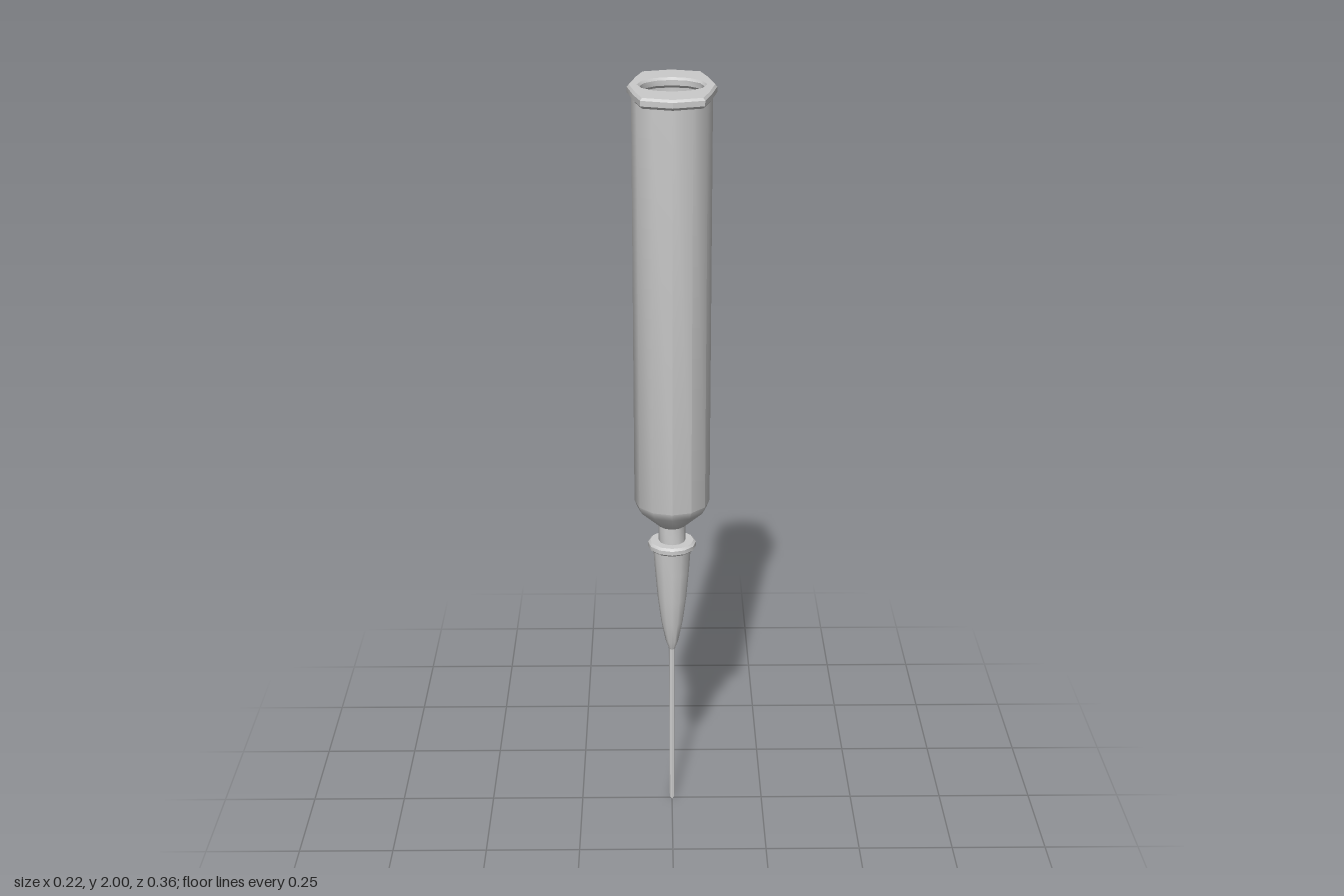
import * as THREE from 'three';
import { toCreasedNormals } from 'three/addons/utils/BufferGeometryUtils.js';

const SIDES = 12;
const CREASE = 0.62;
const material = new THREE.MeshStandardMaterial({ color: 0xcccccc });

function addPart(group, name, geometry) {
  const mesh = new THREE.Mesh(toCreasedNormals(geometry, CREASE), material);
  mesh.name = name;
  group.add(mesh);
}

// Turned part from [radius, height] pairs
function turned(profile) {
  return new THREE.LatheGeometry(profile.map(([r, y]) => new THREE.Vector2(r, y)), SIDES);
}

export function createModel() {
  const group = new THREE.Group();
  group.name = 'syringe';

  // Hollow barrel: neck, shoulder, outer wall, then inner wall and funnel floor
  addPart(group, 'barrel', turned([
    [0, 0.795], [0.035, 0.795], [0.035, 0.845], [0.09, 0.895], [0.098, 0.915], [0.098, 1.985],
    [0.084, 1.985], [0.084, 0.925], [0.035, 0.872], [0, 0.872],
  ]));

  // Finger flange: bevelled elongated plate with a round opening
  const quarter = [[0.103, 0], [0.087, 0.09], [0.071, 0.153], [0, 0.176]];
  const half = [...quarter, ...quarter.slice(0, 3).reverse().map(([x, z]) => [-x, z])];
  const outline = [...half, ...half.slice(1, 6).reverse().map(([x, z]) => [x, -z])];
  const plate = new THREE.Shape(outline.map(([x, z]) => new THREE.Vector2(x, z)));
  const hole = [];
  for (let i = 0; i < SIDES; i++) {
    const a = -i / SIDES * Math.PI * 2;
    hole.push(new THREE.Vector2(Math.cos(a) * 0.084, Math.sin(a) * 0.084));
  }
  plate.holes.push(new THREE.Path(hole));
  const flange = new THREE.ExtrudeGeometry(plate, {
    depth: 0.013, bevelThickness: 0.006, bevelSize: 0.005, bevelSegments: 1,
  });
  flange.rotateX(-Math.PI / 2).translate(0, 1.981, 0);
  addPart(group, 'fingerFlange', flange);

  // Collar at the top of the needle hub
  addPart(group, 'hubCollar', turned([
    [0, 0.777], [0.056, 0.777], [0.063, 0.783], [0.063, 0.794], [0.057, 0.8], [0, 0.8],
  ]));

  // Tapered needle hub
  addPart(group, 'needleHub', turned([
    [0, 0.475], [0.008, 0.475], [0.017, 0.5], [0.029, 0.56], [0.038, 0.63],
    [0.045, 0.71], [0.05, 0.782], [0, 0.782],
  ]));

  // Needle with a slanted tip, its point towards +z
  const radius = 0.007;
  const needle = new THREE.CylinderGeometry(radius, radius, 0.49, 8);
  needle.translate(0, 0.245, 0);
  const pos = needle.attributes.position;
  for (let i = 0; i < pos.count; i++) {
    if (pos.getY(i) < 0.1) pos.setY(i, (radius - pos.getZ(i)) * 2.5);
  }
  addPart(group, 'needle', needle);

  return group;
}
